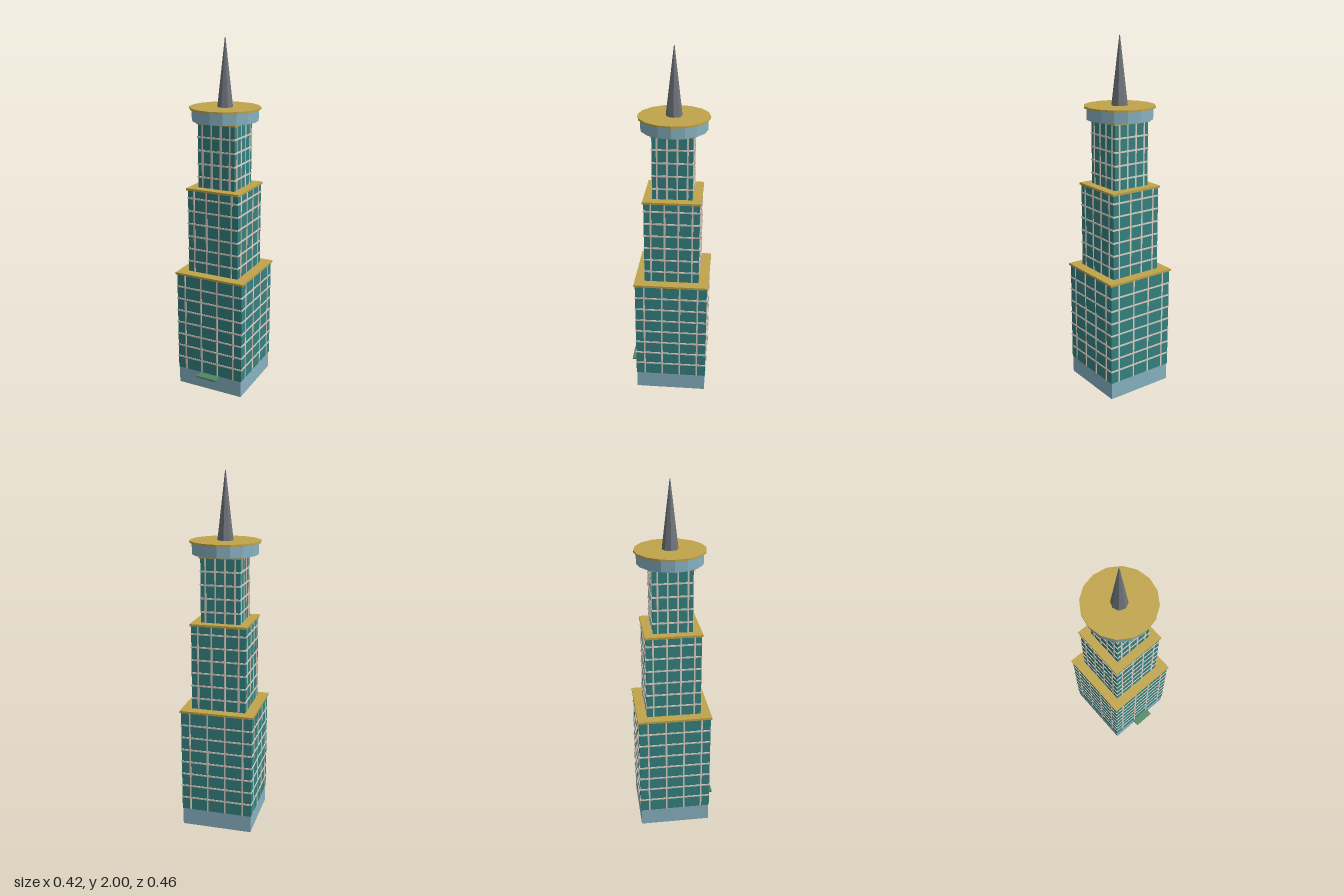
import * as THREE from 'three';

const paint = (name, color) => {
  const m = new THREE.MeshStandardMaterial({ color });
  m.name = name;
  return m;
};

export function createModel() {
  const stone = paint('pale blue stone', 0x88b2c2);
  const glass = paint('teal glass', 0x348280);
  const trim = paint('pale mullion', 0xdcd0c4);
  const gold = paint('gold roof', 0xc0a44a);
  const steel = paint('grey steel', 0x70757c);
  const green = paint('green canopy', 0x4f8762);

  const model = new THREE.Group();
  model.name = 'tower';
  const tower = new THREE.Group();
  tower.name = 'towerBody';
  tower.position.z = -0.02;
  model.add(tower);

  const add = (parent, name, geometry, material, x, y, z) => {
    const mesh = new THREE.Mesh(geometry, material);
    mesh.name = name;
    mesh.position.set(x, y, z);
    parent.add(mesh);
    return mesh;
  };
  const box = (parent, name, material, w, h, d, x, y, z) =>
    add(parent, name, new THREE.BoxGeometry(w, h, d), material, x, y, z);
  // Faceted round part standing on height y
  const drum = (name, material, rTop, rBottom, h, sides, y) => {
    const g = new THREE.CylinderGeometry(rTop, rBottom, h, sides).toNonIndexed();
    g.computeVertexNormals();
    return add(tower, name, g, material, 0, y + h / 2, 0);
  };

  // Ground floor
  box(tower, 'base', stone, 0.4, 0.1, 0.4, 0, 0.05, 0);

  // Three stepped glass tiers, each with a mullion grid and a gold roof slab
  const floor = 0.0741, bar = 0.009, proud = 0.003;
  const tiers = [
    { name: 'lowerTier', half: 0.203, roof: 0.21, y0: 0.1, floors: 8 },
    { name: 'middleTier', half: 0.153, roof: 0.16, y0: 0.693, floors: 6.6 },
    { name: 'upperTier', half: 0.11, roof: 0.117, y0: 1.18, floors: 4.95 },
  ];
  for (const { name, half, roof, y0, floors } of tiers) {
    const tier = new THREE.Group();
    tier.name = name;
    tier.position.y = y0;
    tower.add(tier);
    const h = floors * floor;
    box(tier, 'glassWalls', glass, half * 2, h, half * 2, 0, h / 2, 0);
    box(tier, 'roofSlab', gold, roof * 2, 0.012, roof * 2, 0, h + 0.006, 0);

    for (let side = 0; side < 4; side++) {
      const grid = new THREE.Group();
      grid.name = 'mullionGrid';
      grid.rotation.y = side * Math.PI / 2;
      tier.add(grid);
      const z = half + proud / 2;
      for (let i = 0; i < 4; i++) {
        box(grid, 'mullion', trim, bar, h, proud, (i - 1.5) * half / 2, h / 2, z);
      }
      for (let k = 1; k < floors; k++) {
        box(grid, 'floorBand', trim, (half + proud) * 2, bar, proud + 0.0004, 0, k * floor, z);
      }
    }
  }

  // Round crown, its roof and the spire
  drum('crown', stone, 0.183, 0.183, 0.062, 16, 1.56);
  drum('crownRoof', gold, 0.196, 0.196, 0.011, 16, 1.622);
  drum('spire', steel, 0.002, 0.045, 0.367, 8, 1.633);

  // Entrance canopy
  box(model, 'canopy', green, 0.122, 0.009, 0.08, 0, 0.091, 0.188);

  return model;
}
